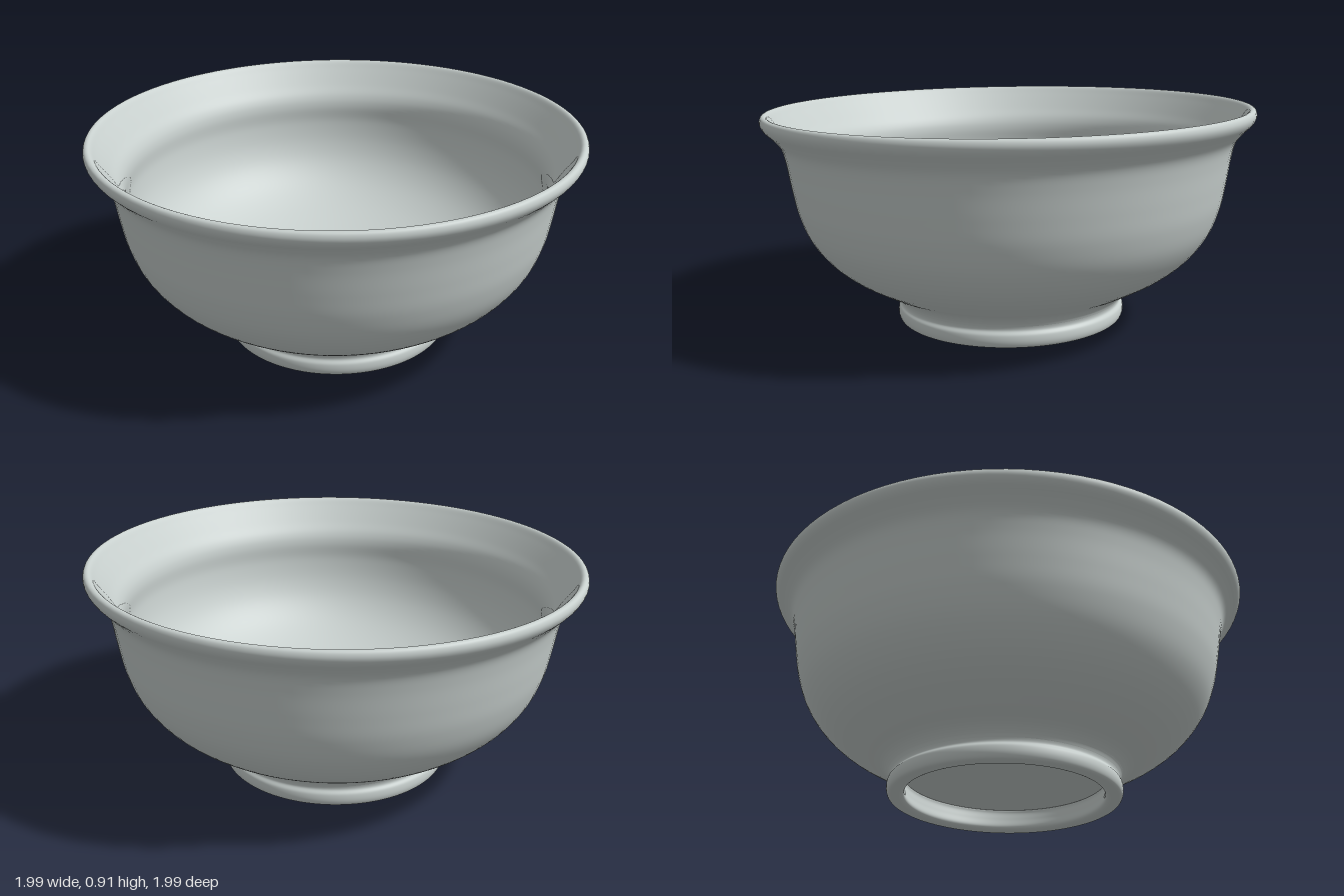
import * as THREE from 'three';

// Smooth surface of revolution through a few [radius, height] points
function turned(name, points, steps, material) {
  const curve = new THREE.SplineCurve(points.map(([r, y]) => new THREE.Vector2(r, y)));
  const profile = curve.getPoints(steps);
  profile.forEach((p) => { p.x = Math.max(p.x, 0); });
  const mesh = new THREE.Mesh(new THREE.LatheGeometry(profile, 96), material);
  mesh.name = name;
  return mesh;
}

export function createModel() {
  const glaze = new THREE.MeshStandardMaterial({ color: 0xc8d0ce });
  glaze.name = 'pale grey glaze';

  const model = new THREE.Group();
  model.name = 'bowl';

  // Hollow foot: recessed underside, inner wall, rounded lip, outer groove
  const foot = turned('footRing', [
    [0, 0.105], [0.2, 0.105], [0.39, 0.103], [0.413, 0.095], [0.41, 0.06],
    [0.405, 0.025], [0.42, 0.011], [0.445, 0.009], [0.468, 0.014], [0.477, 0.035],
    [0.475, 0.062], [0.464, 0.08], [0.468, 0.1], [0.478, 0.115],
  ], 78, glaze);

  // Shell: outer wall up to the flared rim, then down the inside to the floor
  const shell = turned('bowlShell', [
    [0.466, 0.095], [0.478, 0.115], [0.51, 0.143], [0.58, 0.18], [0.68, 0.238],
    [0.765, 0.31], [0.83, 0.4], [0.868, 0.5], [0.888, 0.6], [0.904, 0.7],
    [0.92, 0.762], [0.95, 0.803], [0.985, 0.838], [0.997, 0.865], [0.99, 0.887],
    [0.97, 0.888], [0.945, 0.855], [0.9, 0.79], [0.866, 0.74], [0.852, 0.69],
    [0.852, 0.61], [0.832, 0.51], [0.79, 0.42], [0.72, 0.34], [0.62, 0.272],
    [0.5, 0.22], [0.41, 0.2], [0.2, 0.193], [0, 0.192],
  ], 168, glaze);

  // The handmade bowl leans very slightly
  const body = new THREE.Group();
  body.name = 'leaningBody';
  body.add(foot, shell);
  body.rotation.set(0.012, 0, 0.012);
  body.position.set(0.01, 0, -0.01);
  model.add(body);
  return model;
}
